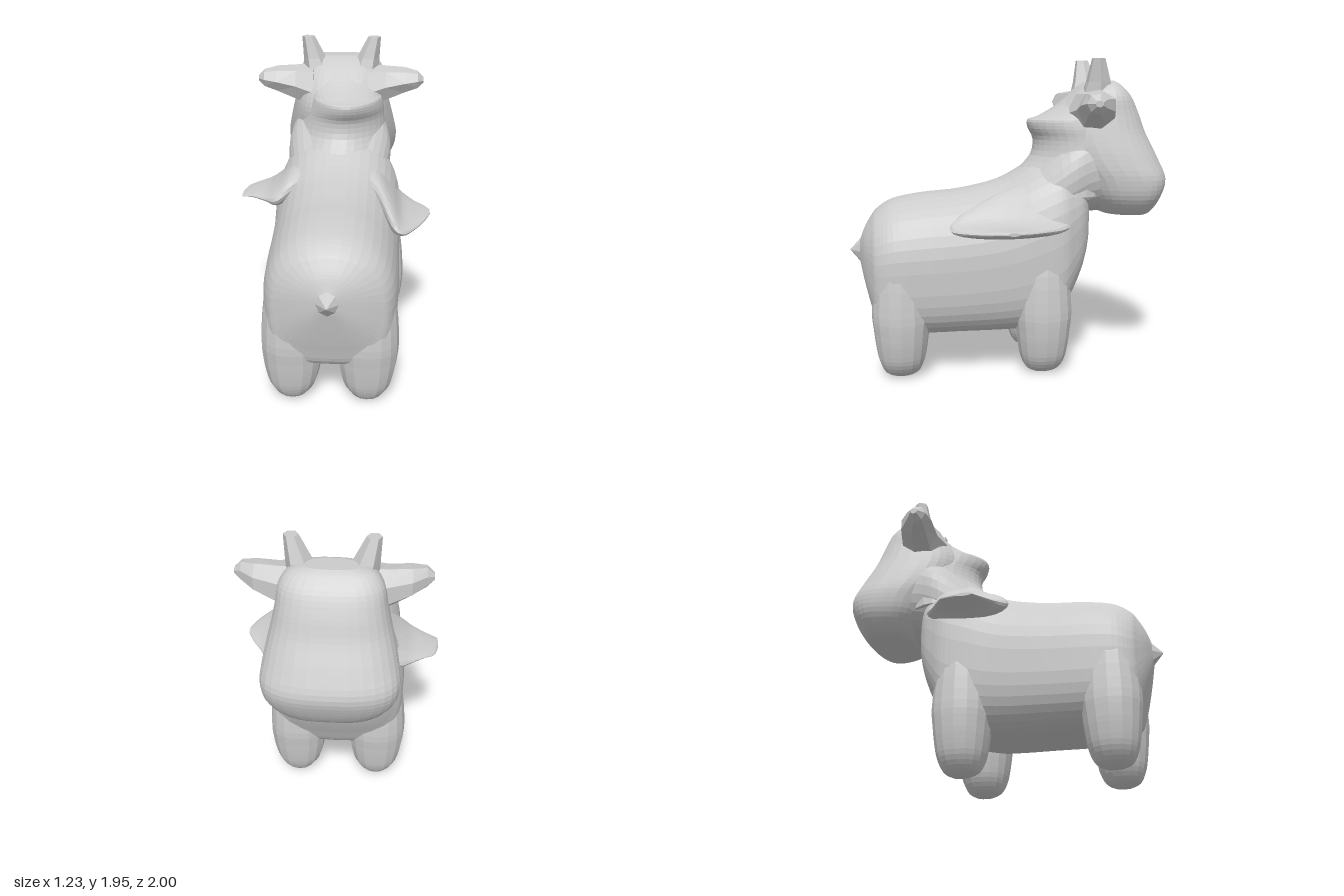
import * as THREE from 'three';

const material = new THREE.MeshStandardMaterial({ color: 0xcccccc, flatShading: true });

// Catmull-Rom blend between cross-sections, so a few stations give a smooth skin
function smoothStations(stations, steps) {
  const out = [];
  const last = stations.length - 1;
  for (let i = 0; i < last; i++) {
    const a = stations[Math.max(i - 1, 0)], b = stations[i];
    const c = stations[i + 1], d = stations[Math.min(i + 2, last)];
    for (let k = 0; k < steps; k++) {
      const t = k / steps;
      out.push(b.map((v, n) => {
        const m0 = (c[n] - a[n]) / 2, m1 = (d[n] - v) / 2;
        return v + m0 * t + (3 * (c[n] - v) - 2 * m0 - m1) * t * t
          + (2 * (v - c[n]) + m0 + m1) * t * t * t;
      }));
    }
  }
  out.push(stations[last]);
  return out;
}

// Skin over superellipse rings. Station: [x, y, z, half width, half height or depth].
// lowPower squares off the lower half; taper narrows the upper (or rear) half.
function loft(name, axis, stations, { sides = 28, steps = 4, power = 2, lowPower = power, taper = 0 } = {}) {
  const rings = smoothStations(stations, steps);
  const pos = [], index = [];
  for (const [x, y, z, a, b] of rings) {
    for (let j = 0; j < sides; j++) {
      const t = j / sides * Math.PI * 2;
      const n = Math.sin(t) < 0 ? lowPower : power;
      const bend = v => Math.sign(v) * Math.abs(v) ** (2 / n);
      const v = bend(Math.sin(t));
      const p = Math.max(a, 0.003) * bend(Math.cos(t)) * (1 - taper * v);
      const q = Math.max(b, 0.003) * v;
      if (axis === 'z') pos.push(x + p, y + q, z);
      else if (axis === 'y') pos.push(x + p, y, z + q);
      else pos.push(x, y + q, z + p);
    }
  }
  const k = 'xyz'.indexOf(axis);
  const rising = stations[stations.length - 1][k] > stations[0][k];
  const flip = (axis === 'z') !== rising;
  const face = (a, b, c) => (flip ? index.push(a, c, b) : index.push(a, b, c));
  const start = rings.length * sides, end = start + 1;
  pos.push(...rings[0].slice(0, 3), ...rings[rings.length - 1].slice(0, 3));
  for (let j = 0; j < sides; j++) {
    const n = (j + 1) % sides, top = (rings.length - 1) * sides;
    for (let i = 0; i < rings.length - 1; i++) {
      const r = i * sides, s = r + sides;
      face(r + j, r + n, s + j);
      face(r + n, s + n, s + j);
    }
    face(start, n, j);
    face(end, top + j, top + n);
  }
  const geometry = new THREE.BufferGeometry();
  geometry.setAttribute('position', new THREE.Float32BufferAttribute(pos, 3));
  geometry.setIndex(index);
  geometry.computeVertexNormals();
  const mesh = new THREE.Mesh(geometry, material);
  mesh.name = name;
  return mesh;
}

export function createModel() {
  const model = new THREE.Group();
  model.name = 'calf';

  // Barrel body from rump to chest, slab-sided below: [z, top, bottom, half width]
  const body = [
    [0.94, 0.83, 0.70, 0.06], [0.91, 0.91, 0.57, 0.18], [0.87, 0.98, 0.42, 0.28],
    [0.83, 1.03, 0.31, 0.345], [0.73, 1.09, 0.27, 0.385], [0.55, 1.125, 0.25, 0.40],
    [0.30, 1.15, 0.25, 0.405], [0.05, 1.21, 0.25, 0.41], [-0.15, 1.32, 0.26, 0.42],
    [-0.29, 1.38, 0.31, 0.415], [-0.37, 1.36, 0.45, 0.375], [-0.44, 1.32, 0.60, 0.32],
    [-0.485, 1.20, 0.75, 0.24], [-0.505, 1.10, 0.86, 0.12],
  ].map(([z, top, low, w]) => [0.012, (top + low) / 2, z, w, (top - low) / 2]);
  model.add(loft('body', 'z', body, { sides: 40, power: 2.2, lowPower: 3.2 }));

  // Short pointed tail
  model.add(loft('tail', 'z', [
    [0.01, 0.76, 0.86, 0.17, 0.17], [0.01, 0.765, 0.93, 0.075, 0.085], [0.01, 0.77, 1.0, 0.004, 0.004],
  ], { sides: 8, steps: 2 }));

  // Four stout legs flowing into the flanks: [y, half width, half depth]
  const legShape = [
    [0.85, 0.12, 0.12], [0.65, 0.165, 0.16], [0.42, 0.185, 0.18], [0.30, 0.18, 0.17],
    [0.20, 0.165, 0.158], [0.11, 0.14, 0.14], [0.04, 0.09, 0.105], [0.01, 0.035, 0.05],
  ];
  for (const [name, x, z] of [
    ['leftFrontLeg', 0.275, -0.19], ['rightFrontLeg', -0.245, -0.19],
    ['leftBackLeg', 0.235, 0.69], ['rightBackLeg', -0.215, 0.69],
  ]) {
    model.add(loft(name, 'y', legShape.map(([y, w, d]) => [x, y, z, w, d]),
      { sides: 16, steps: 3, power: 2.3 }));
  }

  // Neck bridging chest and jaw: [z, top, bottom, half width]
  model.add(loft('neck', 'z', [
    [-0.15, 1.30, 0.85, 0.30], [-0.35, 1.50, 0.92, 0.345], [-0.50, 1.58, 0.985, 0.325],
    [-0.62, 1.58, 0.995, 0.315], [-0.78, 1.50, 1.0, 0.29],
  ].map(([z, top, low, w]) => [0.012, (top + low) / 2, z, w, (top - low) / 2]), { sides: 32, power: 2.2 }));

  // Head, broad at the muzzle: [y, back z, front z, half width]
  const head = [
    [0.978, -0.68, -0.86, 0.15], [1.0, -0.58, -0.91, 0.26], [1.1, -0.48, -0.97, 0.35],
    [1.22, -0.40, -1.0, 0.375], [1.35, -0.30, -0.95, 0.355], [1.5, -0.25, -0.875, 0.32],
    [1.62, -0.29, -0.83, 0.295], [1.73, -0.39, -0.775, 0.275], [1.8, -0.48, -0.71, 0.225],
    [1.828, -0.54, -0.67, 0.14],
  ].map(([y, back, front, w]) => [0.012, y, (back + front) / 2, w, (back - front) / 2]);
  model.add(loft('head', 'y', head, { sides: 36, power: 2.7, taper: 0.15 }));

  // Nape with a small raised collar: [y, back z, half width, x]
  model.add(loft('collar', 'y', [
    [1.12, 0.0, 0.33, 0.01], [1.25, -0.06, 0.31, 0.01], [1.36, -0.15, 0.29, 0.02], [1.46, -0.165, 0.27, 0.03],
    [1.53, -0.13, 0.25, 0.045], [1.585, -0.125, 0.235, 0.05], [1.605, -0.19, 0.24, 0.04],
    [1.67, -0.31, 0.25, 0.02], [1.76, -0.42, 0.22, 0.012],
  ].map(([y, back, w, x]) => [x, y, (back - 0.62) / 2, w, (back + 0.62) / 2]), { sides: 28, steps: 3, taper: 0.25 }));

  // Uneven cape flaps flaring from the shoulders
  model.add(loft('leftCapeFlap', 'x', [
    [0.10, 1.16, -0.20, 0.10, 0.06], [0.26, 1.09, -0.12, 0.25, 0.10], [0.36, 0.99, 0.0, 0.36, 0.10],
    [0.43, 0.945, 0.04, 0.35, 0.055], [0.51, 0.94, 0.06, 0.23, 0.03], [0.57, 0.945, 0.05, 0.13, 0.02],
    [0.61, 0.95, 0.04, 0.035, 0.01],
  ], { sides: 22 }));
  model.add(loft('rightCapeFlap', 'x', [
    [-0.10, 1.16, -0.20, 0.10, 0.06], [-0.27, 1.09, -0.17, 0.24, 0.10], [-0.37, 1.03, -0.14, 0.26, 0.08],
    [-0.45, 1.015, -0.14, 0.20, 0.04], [-0.53, 1.01, -0.14, 0.14, 0.022], [-0.59, 1.0, -0.13, 0.10, 0.016],
    [-0.615, 0.995, -0.09, 0.05, 0.01],
  ], { sides: 22 }));

  // Faceted ears and horns, mirrored
  for (const [side, s] of [['left', 1], ['right', -1]]) {
    const place = ([x, ...rest]) => [s * x + 0.012, ...rest];
    model.add(loft(side + 'Ear', 'x', [
      [0.18, 1.62, -0.51, 0.17, 0.16], [0.30, 1.65, -0.51, 0.125, 0.12],
      [0.43, 1.68, -0.49, 0.11, 0.085], [0.51, 1.69, -0.46, 0.065, 0.06], [0.55, 1.69, -0.46, 0.025, 0.02],
    ].map(place), { sides: 7, steps: 1 }));
    model.add(loft(side + 'Horn', 'y', [
      [0.15, 1.70, -0.54, 0.10, 0.11], [0.18, 1.82, -0.545, 0.075, 0.08], [0.22, 1.96, -0.535, 0.042, 0.042],
    ].map(place), { sides: 6, steps: 1 }));
  }
  return model;
}
